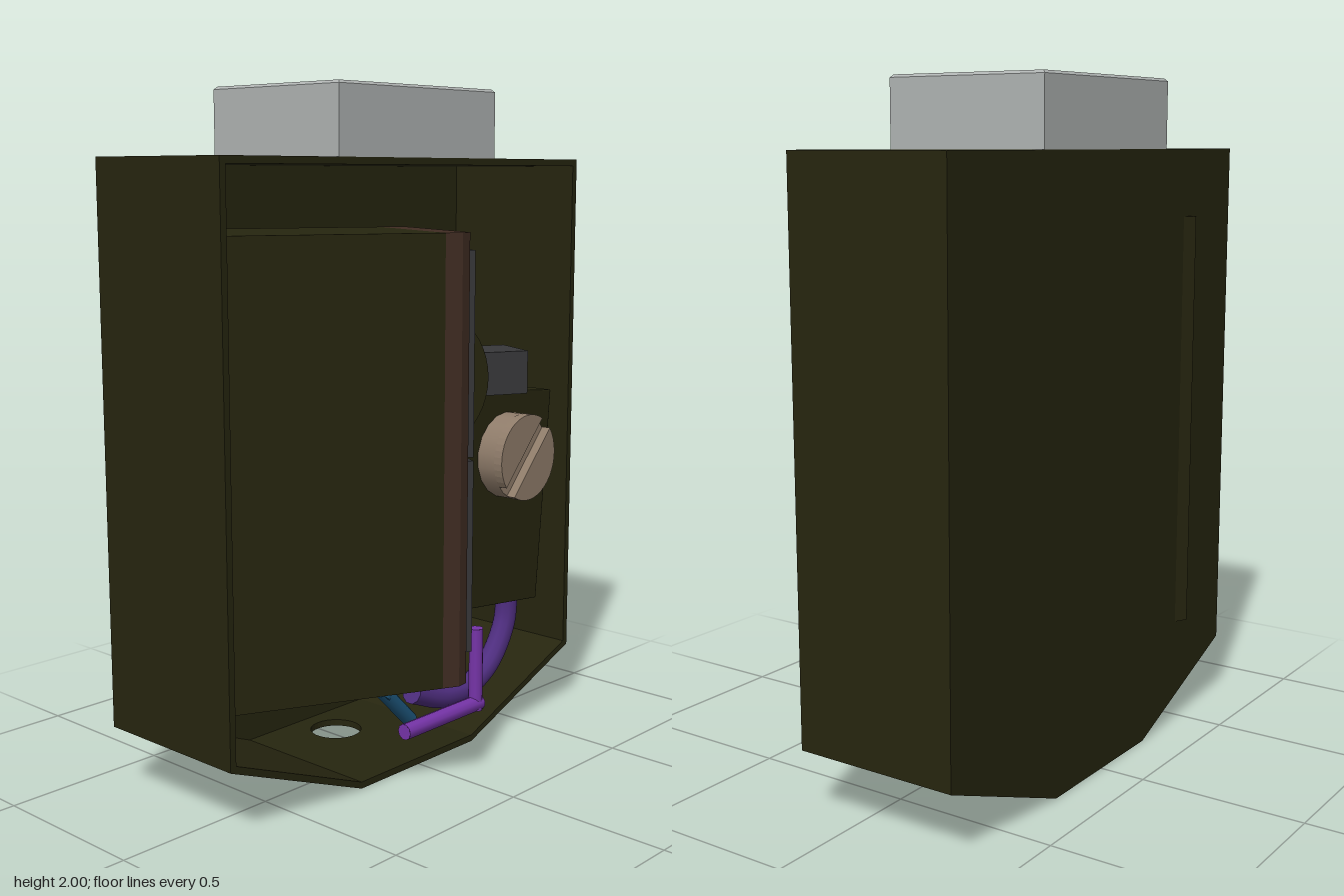
import * as THREE from 'three';
import { RoundedBoxGeometry } from 'three/addons/geometries/RoundedBoxGeometry.js';

const material = (name, color) => {
  const m = new THREE.MeshStandardMaterial({ color });
  m.name = name;
  return m;
};

export function createModel() {
  const green = material('olive green', 0x26250f);
  const silver = material('light grey', 0xafb3b2);
  const brown = material('dark brown', 0x402c22);
  const grey = material('charcoal', 0x38383a);
  const screenGreen = material('screen green', 0x202d12);
  const tan = material('brass tan', 0x8f7c6a);
  const blue = material('wire blue', 0x1d557a);
  const red = material('wire red', 0xff0c0c);
  const purple = material('wire purple', 0x4f2e80);
  const violet = material('wire violet', 0x7634a8);

  const root = new THREE.Group();
  root.name = 'device';

  const add = (parent, name, geometry, mat) => {
    const mesh = new THREE.Mesh(geometry, mat);
    mesh.name = name;
    parent.add(mesh);
    return mesh;
  };
  const box = (parent, name, mat, x0, x1, y0, y1, z0, z1) => {
    const mesh = add(parent, name, new THREE.BoxGeometry(x1 - x0, y1 - y0, z1 - z0), mat);
    mesh.position.set((x0 + x1) / 2, (y0 + y1) / 2, (z0 + z1) / 2);
    return mesh;
  };
  const polygon = (pts) => new THREE.Shape(pts.map(([x, y]) => new THREE.Vector2(x, y)));
  const extrude = (shape, depth, curveSegments = 16) =>
    new THREE.ExtrudeGeometry(shape, { depth, bevelEnabled: false, curveSegments });
  const circleHole = (x, y, r) => new THREE.Path().absarc(x, y, r, 0, Math.PI * 2, true);

  // Housing: shell open on the +x side, with a tapered base
  const housing = new THREE.Group();
  housing.name = 'housing';
  root.add(housing);
  const outer = [[-0.25, 0], [-0.75, 0.2], [-0.75, 1.8], [0.75, 1.8], [0.75, 0.2], [0.25, 0]];
  const inner = [[0.25, 0.02], [0.73, 0.214], [0.73, 1.78], [-0.73, 1.78], [-0.73, 0.214], [-0.25, 0.02]];
  const rim = extrude(polygon([...outer, ...inner]), 0.5);
  rim.rotateY(Math.PI / 2);
  rim.translate(-0.36, 0, 0);
  add(housing, 'housingWalls', rim, green);
  const back = extrude(polygon(outer), 0.02);
  back.rotateY(Math.PI / 2);
  back.translate(-0.36, 0, 0);
  add(housing, 'housingBack', back, green);

  // Floor with a round hole
  const floorShape = polygon([[-0.36, -0.25], [0.14, -0.25], [0.14, 0.25], [-0.36, 0.25]]);
  floorShape.holes.push(circleHole(-0.21, 0, 0.08));
  const floor = extrude(floorShape, 0.02);
  floor.rotateX(-Math.PI / 2);
  add(housing, 'housingFloor', floor, green);

  // Top block with a socket
  const capShape = polygon([[-0.352, -0.322], [0.132, -0.322], [0.132, 0.322], [-0.352, 0.322]]);
  capShape.holes.push(circleHole(-0.21, 0, 0.088));
  const cap = new THREE.ExtrudeGeometry(capShape, {
    depth: 0.192, bevelEnabled: true, bevelSize: 0.008, bevelThickness: 0.008, bevelSegments: 1, curveSegments: 16,
  });
  cap.rotateX(-Math.PI / 2);
  cap.translate(0, 1.8, 0);
  add(root, 'topBlock', cap, silver);

  // Swung-out drawer; its control face looks along local -z
  const drawer = new THREE.Group();
  drawer.name = 'drawer';
  drawer.position.set(0.36, 0, 0.15);
  drawer.rotation.y = -0.464;
  root.add(drawer);
  box(drawer, 'drawerBody', green, -0.51, 0, 0.33, 1.6, 0, 0.635);
  const bezel = extrude(polygon([[-0.51, 0], [0, 0], [0, 0.05], [-0.02, 0.08], [-0.49, 0.08], [-0.51, 0.05]]), 1.27);
  bezel.rotateX(-Math.PI / 2);
  bezel.translate(0, 0.33, 0);
  add(drawer, 'drawerBezel', bezel, brown);

  // Grey control plate with raised frames
  box(drawer, 'controlPlate', grey, -0.46, -0.05, 0.4, 1.55, -0.09, -0.08);
  const frame = (name, y0, y1, border) => {
    const s = polygon([[-0.46, y0], [-0.05, y0], [-0.05, y1], [-0.46, y1]]);
    s.holes.push(polygon([[-0.46 + border, y0 + border], [-0.46 + border, y1 - border],
      [-0.05 - border, y1 - border], [-0.05 - border, y0 + border]]));
    const g = extrude(s, 0.02);
    g.translate(0, 0, -0.11);
    add(drawer, name, g, grey);
  };
  frame('upperFrame', 0.975, 1.55, 0.025);
  frame('screenFrame', 0.41, 0.965, 0.022);
  box(drawer, 'slotPlate', brown, -0.425, -0.085, 1.4, 1.51, -0.1, -0.09);
  box(drawer, 'leverPlate', grey, -0.43, -0.08, 1.0, 1.385, -0.104, -0.09);
  box(drawer, 'screen', screenGreen, -0.425, -0.085, 0.44, 0.94, -0.098, -0.09);
  box(drawer, 'screenTrim', blue, -0.425, -0.085, 0.948, 0.958, -0.112, -0.107);

  // Curved drum with its lever
  const drumGeo = new THREE.CylinderGeometry(0.215, 0.215, 0.26, 48);
  drumGeo.rotateZ(Math.PI / 2);
  add(drawer, 'drum', drumGeo, green).position.set(-0.26, 1.185, 0.025);
  box(drawer, 'lever', grey, -0.35, -0.185, 1.125, 1.25, -0.34, -0.16);

  // Leaning inner box
  const battery = new THREE.Group();
  battery.name = 'innerBox';
  battery.position.set(-0.1, 0.74, -0.445);
  battery.rotation.set(-0.09, -0.035, 0);
  root.add(battery);
  add(battery, 'innerBoxBody', new RoundedBoxGeometry(0.38, 0.69, 0.45, 1, 0.004), green);

  // Slotted screw head
  const screw = new THREE.Group();
  screw.name = 'screw';
  screw.position.set(0.07, 0.88, -0.47);
  screw.rotation.y = Math.PI / 2;
  root.add(screw);
  const r = 0.136, a = 0.2;
  add(screw, 'screwBase', new THREE.CylinderGeometry(r, r, 0.08, 18).rotateX(Math.PI / 2), tan).position.z = 0.04;
  for (const turn of [0, Math.PI]) {
    const half = new THREE.Shape().absarc(0, 0, r, a, Math.PI - a, false);
    const mesh = add(screw, 'screwHalf', extrude(half, 0.03, 9), tan);
    mesh.position.z = 0.08;
    mesh.rotation.z = 0.84 + turn;
  }

  // Loose wires
  const wire = (name, mat, radius, pts, smooth) => {
    const v = pts.map((p) => new THREE.Vector3(...p));
    let path;
    if (smooth) path = new THREE.CatmullRomCurve3(v);
    else {
      path = new THREE.CurvePath();
      for (let i = 1; i < v.length; i++) path.add(new THREE.LineCurve3(v[i - 1], v[i]));
    }
    const g = new THREE.Group();
    g.name = name;
    root.add(g);
    add(g, name + 'Tube', new THREE.TubeGeometry(path, 32, radius, 10), mat);
    // End caps
    for (const [p, sign] of [[0, -1], [1, 1]]) {
      const disc = add(g, name + 'End', new THREE.CircleGeometry(radius, 10), mat);
      disc.position.copy(path.getPointAt(p));
      disc.lookAt(disc.position.clone().addScaledVector(path.getTangentAt(p), sign));
    }
  };
  wire('redWire', red, 0.038, [[0.0, 0.44, -0.255], [0.0, 0.34, -0.25], [0.01, 0.265, -0.21], [0.02, 0.24, -0.12]], true);
  wire('purpleWire', purple, 0.036,
    [[0.03, 0.42, -0.56], [0.03, 0.3, -0.55], [0.03, 0.18, -0.47], [0.03, 0.125, -0.36], [0.04, 0.13, -0.22], [0.04, 0.18, -0.08]], true);
  wire('blueWireUpper', blue, 0.026, [[-0.02, 0.37, -0.2], [-0.02, 0.17, -0.01]], false);
  wire('blueWireLower', blue, 0.024, [[-0.02, 0.19, -0.01], [-0.02, 0.06, -0.14]], false);
  wire('violetWireUpright', violet, 0.023, [[0.09, 0.34, -0.33], [0.09, 0.07, -0.33]], false);
  wire('violetWireFlat', violet, 0.025, [[0.09, 0.09, -0.35], [0.09, 0.09, 0.01]], false);

  return root;
}
